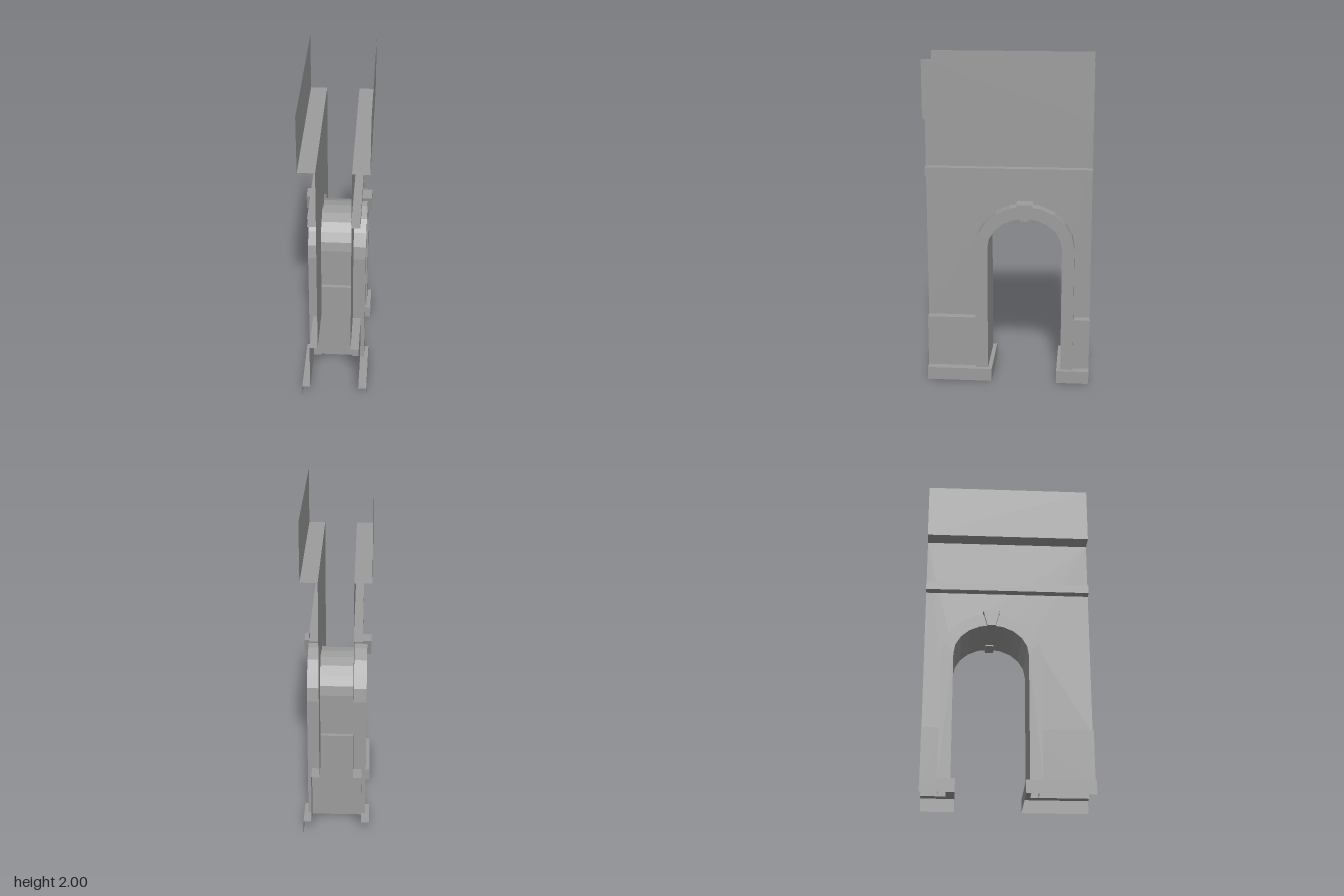
import * as THREE from 'three';

const material = new THREE.MeshStandardMaterial({ color: 0x9c9c9c, flatShading: true, side: THREE.DoubleSide });

const CENTER = -0.1;   // z of the archway axis
const SPRING = 0.86;   // height where the arch starts to curve
const BASE = 0.08;     // top of the footing
const INNER = 0.225, OUTER = 0.3; // half widths of the arch surround
const RECESS = 0.25;   // half width of the opening in the wall

function add(parent, name, geometry) {
  const mesh = new THREE.Mesh(geometry, material);
  mesh.name = name;
  parent.add(mesh);
  return mesh;
}

// Open sheet: a 2D path swept from a to b.
// axis 'z': path is (x, y) swept along z; axis 'x': path is (z, y) swept along x.
function sheet(path, a, b, axis) {
  const at = ([u, v], t) => (axis === 'z' ? [u, v, t] : [t, v, u]);
  const positions = [];
  for (let i = 0; i < path.length - 1; i++) {
    const p = at(path[i], a), q = at(path[i + 1], a);
    const r = at(path[i + 1], b), s = at(path[i], b);
    positions.push(...p, ...q, ...r, ...p, ...r, ...s);
  }
  const geometry = new THREE.BufferGeometry();
  geometry.setAttribute('position', new THREE.Float32BufferAttribute(positions, 3));
  geometry.computeVertexNormals();
  return geometry;
}

// Upright jambs joined by a slightly flattened half round, as (z, y) points
function archPath(halfWidth, bottom) {
  const rise = halfWidth - 0.035;
  const points = [[CENTER + halfWidth, bottom]];
  for (let i = 0; i <= 10; i++) {
    const angle = (i / 10) * Math.PI;
    points.push([CENTER + halfWidth * Math.cos(angle), SPRING + rise * Math.sin(angle)]);
  }
  points.push([CENTER - halfWidth, bottom]);
  return points;
}

const shapeOf = (points) => new THREE.Shape(points.map(([u, v]) => new THREE.Vector2(u, v)));

// Place a (z, y) shape in the plane at the given x, facing -x
const facing = (geometry, x) => geometry.rotateY(-Math.PI / 2).translate(x, 0, 0);

// One facade, on the -x side
function createFacade() {
  const facade = new THREE.Group();

  // wall with a chamfered opening hidden behind the arch surround
  const opening = [[-RECESS, 0.4], [-RECESS, 1], [-0.11, 1.09], [0.11, 1.09], [RECESS, 1], [RECESS, 0.4]]
    .map(([u, v]) => [CENTER + u, v]);
  const wall = shapeOf([[0.5, 0.4], [0.5, 1.655], [-0.5, 1.655], [-0.5, 0.4], ...opening]);
  add(facade, 'wall', facing(new THREE.ShapeGeometry(wall), -0.1));

  // overhanging attic and string course
  add(facade, 'attic', sheet([[-0.1, 1.655], [-0.2, 1.655], [-0.2, 2]], -0.5, 0.5, 'z'));
  add(facade, 'stringCourse', sheet([[-0.1, 1.3], [-0.15, 1.3], [-0.15, 1.35], [-0.1, 1.35]], -0.5, 0.5, 'z'));

  // plinth and footing on both sides of the archway
  for (const [end, side] of [[0.5, 1], [-0.5, -1]]) {
    const recess = CENTER + side * RECESS;
    const lip = CENTER + side * 0.2;
    add(facade, 'plinth', sheet([[-0.1, 0.4], [-0.15, 0.4], [-0.15, BASE]], recess, end, 'z'));
    add(facade, 'footingTop', sheet([[-0.15, BASE], [-0.2, BASE]], recess, end, 'z'));
    add(facade, 'jambFooting', sheet([[-0.1, BASE], [-0.2, BASE]], lip, recess, 'z'));
    add(facade, 'footingFace', sheet([[-0.2, BASE], [-0.2, 0]], lip, end, 'z'));
  }

  // raised arch surround
  const ring = shapeOf([...archPath(OUTER, BASE), ...archPath(INNER, BASE).reverse()]);
  add(facade, 'archFace', facing(new THREE.ShapeGeometry(ring), -0.175));
  add(facade, 'archOuterEdge', sheet(archPath(OUTER, BASE), -0.175, -0.1, 'x'));
  add(facade, 'archInnerEdge', sheet(archPath(INNER, BASE), -0.1, -0.175, 'x'));

  // keystone
  const key = shapeOf([[CENTER - 0.025, 1.04], [CENTER + 0.025, 1.04], [CENTER + 0.05, 1.14], [CENTER - 0.05, 1.14]]);
  add(facade, 'keystone', facing(new THREE.ExtrudeGeometry(key, { depth: 0.1, bevelEnabled: false }), -0.1));
  return facade;
}

export function createModel() {
  const model = new THREE.Group();
  model.name = 'archway';

  // two mirrored facades
  const right = createFacade();
  right.name = 'rightFacade';
  const left = createFacade();
  left.name = 'leftFacade';
  left.scale.x = -1;
  model.add(right, left);

  // passage vault between them
  add(model, 'vault', sheet(archPath(INNER, BASE), 0.1, -0.1, 'x'));

  // footing lip and jamb backing along the passage
  for (const side of [1, -1]) {
    const z = (r) => CENTER + side * r;
    add(model, 'passageFooting', sheet([[z(0.2), 0], [z(0.2), BASE]], -0.2, 0.2, 'x'));
    add(model, 'passageLip', sheet([[z(0.2), BASE], [z(RECESS), BASE]], -0.1, 0.1, 'x'));
    add(model, 'lowerBacking', sheet([[z(RECESS), BASE], [z(RECESS), 0.4]], -0.15, 0.15, 'x'));
    add(model, 'upperBacking', sheet([[z(RECESS), 0.4], [z(RECESS), 0.6], [z(INNER), 0.6]], -0.1, 0.1, 'x'));
  }
  return model;
}
